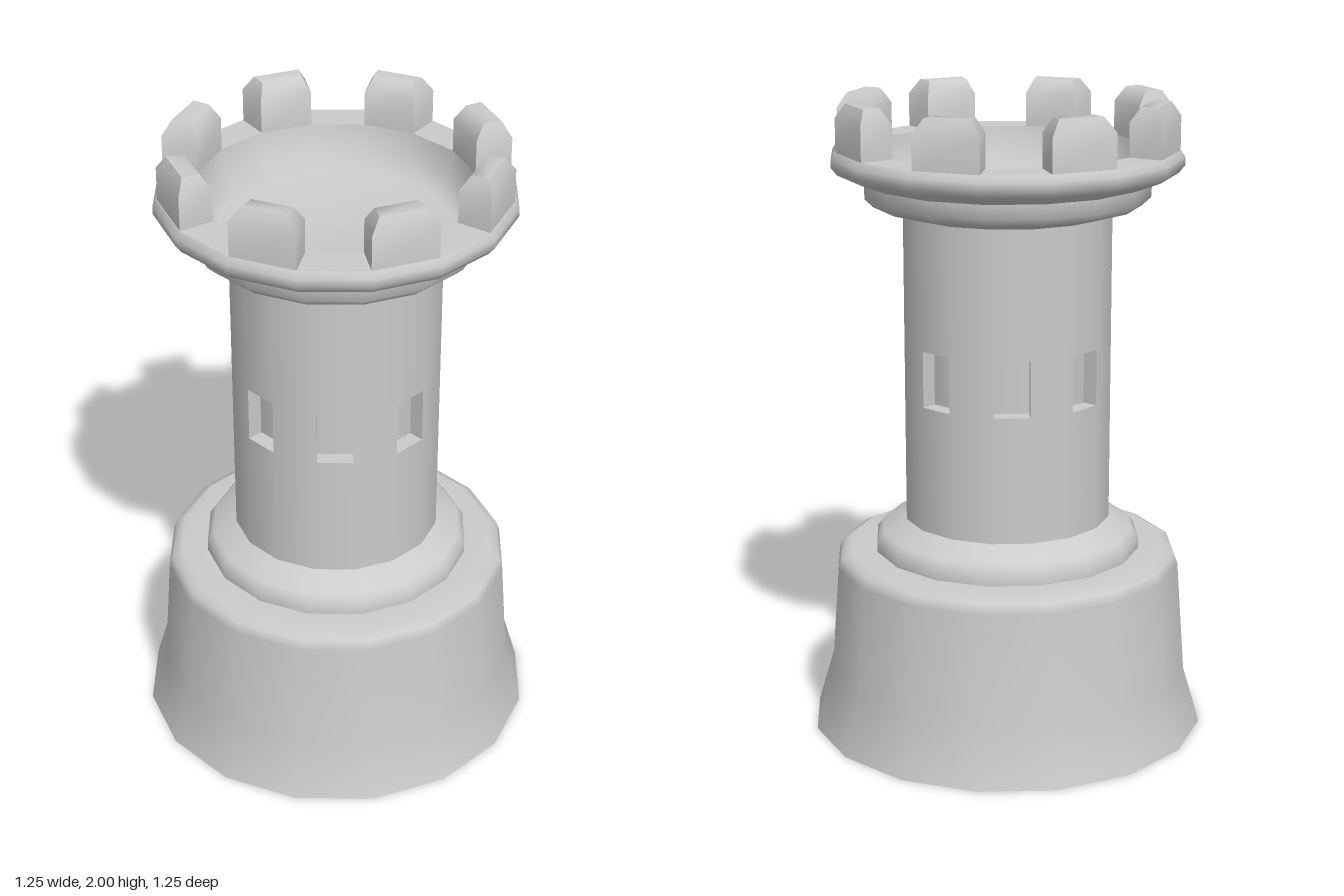
import * as THREE from 'three';
import { toCreasedNormals } from 'three/addons/utils/BufferGeometryUtils.js';

const SIDES = 16;
const STEP = (Math.PI * 2) / SIDES;
const material = new THREE.MeshStandardMaterial({ color: 0xcccccc, side: THREE.DoubleSide });

const polar = (r, angle, y) => new THREE.Vector3(r * Math.sin(angle), y, r * Math.cos(angle));

function add(group, name, geometry) {
  const mesh = new THREE.Mesh(geometry, material);
  mesh.name = name;
  group.add(mesh);
  return mesh;
}

// Sixteen-sided turned part from [radius, height] pairs
function turned(group, name, profile) {
  const points = profile.map(([r, y]) => new THREE.Vector2(r, y));
  return add(group, name, new THREE.LatheGeometry(points, SIDES));
}

// Shaft: every second face carries a recessed window
function shaftGeometry(radius, y0, y1) {
  const positions = [], normals = [];
  const win = { u0: 0.07, u1: 0.93, y0: 1.08, y1: 1.255, depth: 0.05 };

  for (let k = 0; k < SIDES; k++) {
    const a = k * STEP;
    const left = polar(radius, a, 0), right = polar(radius, a + STEP, 0);
    const inward = polar(-1, a + STEP / 2, 0);
    // u runs across the face, d goes into the wall
    const at = (u, y, d = 0) => left.clone().lerp(right, u).addScaledVector(inward, d).setY(y);
    const quad = (corners, smooth) => {
      const flat = corners[1].clone().sub(corners[0]).cross(corners[2].clone().sub(corners[0])).normalize();
      for (const i of [0, 1, 2, 0, 2, 3]) {
        const n = smooth ? corners[i].clone().setY(0).normalize() : flat;
        positions.push(...corners[i].toArray());
        normals.push(...n.toArray());
      }
    };
    const panel = (u0, u1, b, t, d = 0) =>
      quad([at(u0, b, d), at(u1, b, d), at(u1, t, d), at(u0, t, d)], true);

    if (k % 2 === 0) {
      panel(0, 1, y0, y1);
      continue;
    }
    // Wall around the opening
    panel(0, 1, y0, win.y0);
    panel(0, 1, win.y1, y1);
    panel(0, win.u0, win.y0, win.y1);
    panel(win.u1, 1, win.y0, win.y1);
    // Back of the recess and its four reveals
    panel(win.u0, win.u1, win.y0, win.y1, win.depth);
    const ring = [[win.u0, win.y0], [win.u1, win.y0], [win.u1, win.y1], [win.u0, win.y1]];
    ring.forEach(([u, y], i) => {
      const [v, w] = ring[(i + 1) % 4];
      quad([at(u, y), at(v, w), at(v, w, win.depth), at(u, y, win.depth)], false);
    });
  }
  const geometry = new THREE.BufferGeometry();
  geometry.setAttribute('position', new THREE.Float32BufferAttribute(positions, 3));
  geometry.setAttribute('normal', new THREE.Float32BufferAttribute(normals, 3));
  return geometry;
}

// Merlon: a box bent into a wedge over one face, with a bevelled top
function merlonGeometry() {
  const geometry = new THREE.BoxGeometry(1, 1, 1, 1, 2, 1);
  const pos = geometry.attributes.position;
  for (let i = 0; i < pos.count; i++) {
    const x = pos.getX(i), y = pos.getY(i), z = pos.getZ(i);
    const top = y > 0.25;
    const height = top ? 2 : y > -0.25 ? 1.955 : 1.845;
    const angle = STEP / 2 + x * STEP * (top ? 0.74 : 1);
    const p = polar(0.474 + z * (top ? 0.054 : 0.108), angle, height);
    pos.setXYZ(i, p.x, p.y, p.z);
  }
  return toCreasedNormals(geometry, 1.0);
}

export function createModel() {
  const group = new THREE.Group();

  // Flared hollow base, open underneath
  turned(group, 'base', [[0.625, 0], [0.572, 0.18], [0.546, 0.535], [0.535, 0.565], [0.505, 0.58], [0.42, 0.58]]);

  // Collar between base and shaft
  turned(group, 'lowerCollar', [[0.42, 0.58], [0.42, 0.615], [0.4, 0.642], [0.325, 0.682]]);

  add(group, 'shaft', shaftGeometry(0.325, 0.682, 1.655));

  // Stepped crown
  turned(group, 'upperCollar', [[0.325, 1.655], [0.415, 1.68], [0.442, 1.705], [0.444, 1.75]]);
  turned(group, 'crownLip', [[0.444, 1.75], [0.525, 1.782], [0.543, 1.805], [0.543, 1.83], [0.53, 1.85]]);
  turned(group, 'crownRim', [[0.53, 1.85], [0.42, 1.85]]);
  turned(group, 'crownBowl', [[0.42, 1.85], [0.405, 1.77], [0.36, 1.715], [0, 1.705]]);

  // Eight battlements
  const battlements = new THREE.Group();
  battlements.name = 'battlements';
  const geometry = merlonGeometry();
  for (let k = 0; k < SIDES; k += 2) add(battlements, 'merlon', geometry).rotation.y = k * STEP;
  group.add(battlements);

  return group;
}
